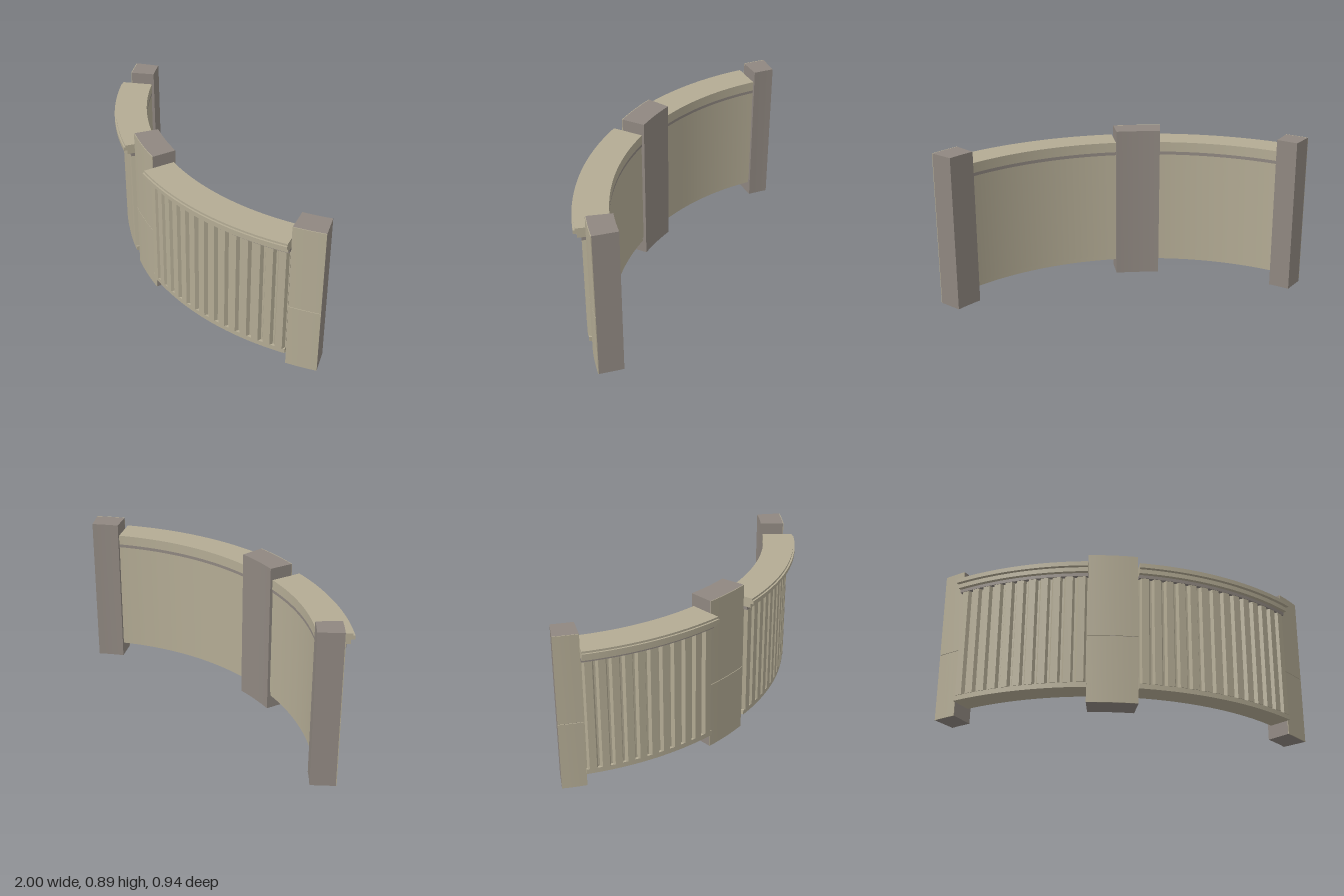
import * as THREE from 'three';
import { toCreasedNormals } from 'three/addons/utils/BufferGeometryUtils.js';

// Every part shares one arc centre; angles are in degrees from +z towards +x.
const CX = 0.355, CZ = -1.13;
const plan = (r, deg) => {
  const a = THREE.MathUtils.degToRad(deg);
  return new THREE.Vector2(CX + r * Math.sin(a), -(CZ + r * Math.cos(a)));
};

function arcPoints(r, a0, a1) {
  const n = Math.max(4, Math.round(Math.abs(a1 - a0) / 1.3));
  return Array.from({ length: n + 1 }, (_, i) => plan(r, a0 + (a1 - a0) * i / n));
}

// Raise a plan outline from y0 to y1
function raise(points, y0, y1) {
  const geo = new THREE.ExtrudeGeometry(new THREE.Shape(points), { depth: y1 - y0, bevelEnabled: false });
  geo.rotateX(-Math.PI / 2);
  geo.translate(0, y0, 0);
  return toCreasedNormals(geo, 0.4);
}

const sector = (r0, r1, a0, a1, y0, y1) =>
  raise([...arcPoints(r1, a0, a1), ...arcPoints(r0, a1, a0)], y0, y1);

// Corrugated outer face with a plain curved back
function fluted(r0, r1, depth, a0, a1, count, y0, y1) {
  const pts = [];
  const step = (a1 - a0) / count;
  for (let i = 0; i < count; i++) {
    const a = a0 + i * step;
    pts.push(plan(r1 - depth, a + step * 0.07), plan(r1, a + step * 0.22),
      plan(r1, a + step * 0.78), plan(r1 - depth, a + step * 0.93));
  }
  return raise([plan(r1 - depth, a0), ...pts, plan(r1 - depth, a1), ...arcPoints(r0, a1, a0)], y0, y1);
}

export function createModel() {
  const model = new THREE.Group();
  model.name = 'curvedCounter';
  const beige = new THREE.MeshStandardMaterial({ color: 0xb3ab94 });
  beige.name = 'beige';
  const grey = new THREE.MeshStandardMaterial({ color: 0x8f8780 });
  grey.name = 'warm grey';

  const add = (group, name, geo, mat) => {
    const mesh = new THREE.Mesh(geo, mat);
    mesh.name = name;
    group.add(mesh);
  };

  // Two counter runs: plinth, fluted front, grey trim and stepped top
  const runs = [
    { name: 'leftCounter', a0: -18.25, a1: 18.25, flutes: 14 },
    { name: 'rightCounter', a0: -56.9, a1: -28.65, flutes: 11 },
  ];
  for (const { name, a0, a1, flutes } of runs) {
    const g = new THREE.Group();
    g.name = name;
    add(g, 'plinth', sector(1.42, 1.553, a0, a1, 0.08, 0.108), beige);
    add(g, 'flutedPanel', fluted(1.414, 1.557, 0.02, a0, a1, flutes, 0.108, 0.744), beige);
    add(g, 'trimBand', sector(1.412, 1.56, a0, a1, 0.744, 0.763), grey);
    add(g, 'lowerMoulding', sector(1.41, 1.581, a0, a1, 0.763, 0.788), beige);
    add(g, 'upperMoulding', sector(1.41, 1.601, a0, a1, 0.788, 0.809), beige);
    add(g, 'counterTop', sector(1.41, 1.591, a0, a1, 0.809, 0.82), beige);
    model.add(g);
  }

  // Posts: grey body faced with two beige panels that leave a fine seam
  const posts = [
    { name: 'leftPost', a0: 18.3, a1: 24.8 },
    { name: 'middlePost', a0: -28.7, a1: -18.3 },
    { name: 'rightPost', a0: -61.85, a1: -56.85 },
  ];
  for (const { name, a0, a1 } of posts) {
    const g = new THREE.Group();
    g.name = name;
    add(g, 'postBody', sector(1.397, 1.534, a0, a1, 0, 0.89), grey);
    add(g, 'lowerFacing', sector(1.534, 1.538, a0, a1, 0, 0.388), beige);
    add(g, 'upperFacing', sector(1.534, 1.538, a0, a1, 0.391, 0.89), beige);
    model.add(g);
  }
  return model;
}
